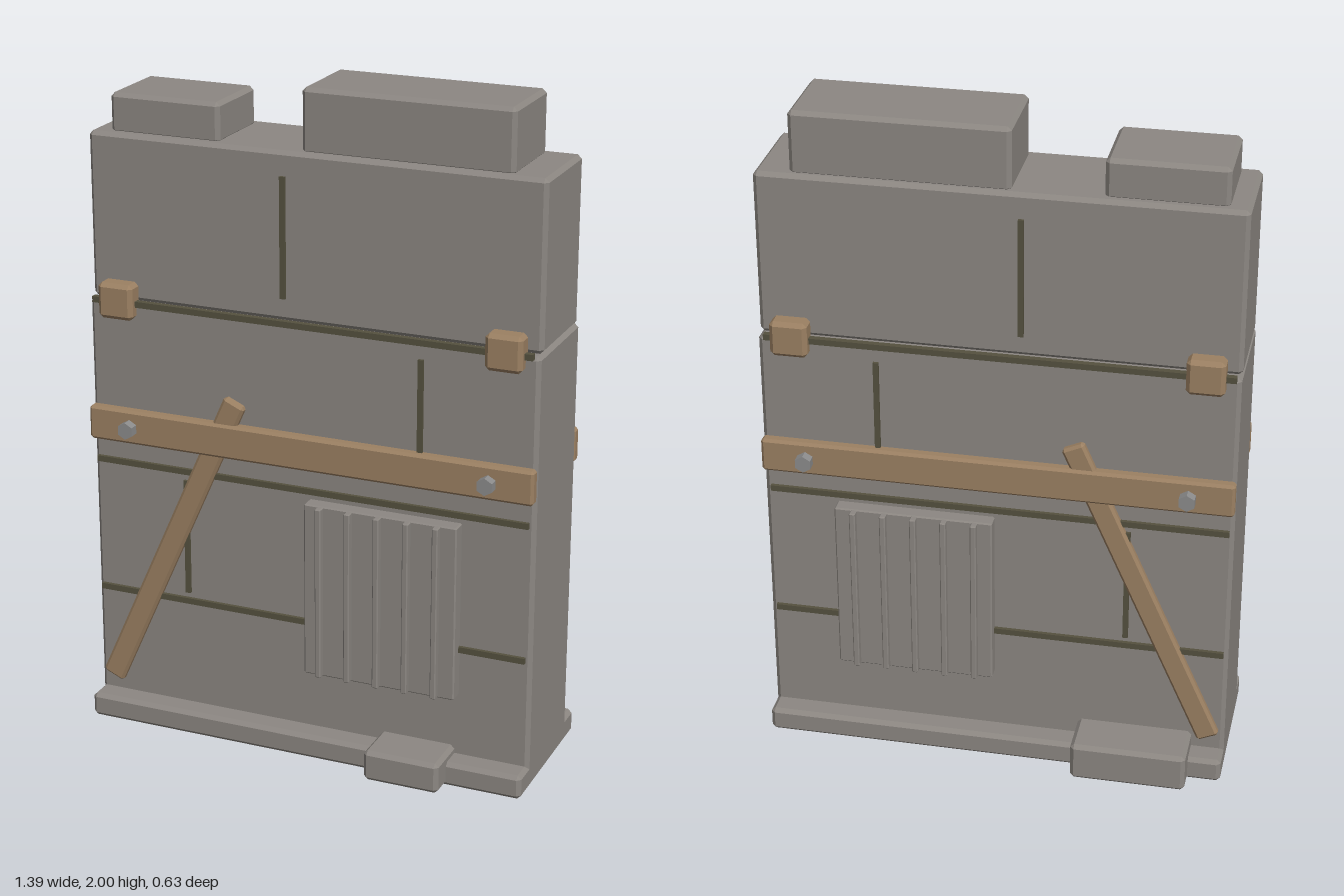
import * as THREE from 'three';
import { ConvexGeometry } from 'three/addons/geometries/ConvexGeometry.js';

const material = (name, color) => {
  const m = new THREE.MeshStandardMaterial({ color });
  m.name = name;
  return m;
};

// Box with flat chamfered edges
function chamferBox(w, h, d, c) {
  const points = [];
  for (const x of [-1, 1]) for (const y of [-1, 1]) for (const z of [-1, 1]) {
    const X = x * w / 2, Y = y * h / 2, Z = z * d / 2;
    points.push(
      new THREE.Vector3(X, Y - y * c, Z - z * c),
      new THREE.Vector3(X - x * c, Y, Z - z * c),
      new THREE.Vector3(X - x * c, Y - y * c, Z));
  }
  return new ConvexGeometry(points);
}

export function createModel() {
  const stone = material('stone', 0x8c8782);
  const timber = material('timber', 0x9b8062);
  const seamDark = material('seam', 0x55513f);
  const metal = material('bolt metal', 0x8c8c8c);
  const model = new THREE.Group();
  model.name = 'wallSegment';

  // Adds a box given by its min and max on each axis; c = 0 leaves sharp edges
  function block(name, mat, [x0, x1], [y0, y1], [z0, z1], c = 0.012) {
    const size = [x1 - x0, y1 - y0, z1 - z0];
    const geometry = c ? chamferBox(...size, c) : new THREE.BoxGeometry(...size);
    const mesh = new THREE.Mesh(geometry, mat);
    mesh.position.set((x0 + x1) / 2, (y0 + y1) / 2, (z0 + z1) / 2);
    mesh.name = name;
    model.add(mesh);
    return mesh;
  }

  // Wall body and the blocks on top
  block('lowerWall', stone, [-0.693, 0.693], [0, 1.325], [-0.172, 0.172]);
  block('upperWall', stone, [-0.693, 0.693], [1.325, 1.82], [-0.151, 0.151]);
  block('smallTopBlock', stone, [-0.635, -0.292], [1.81, 1.93], [-0.125, 0.122]);
  block('largeTopBlock', stone, [-0.035, 0.592], [1.81, 2], [-0.132, 0.13]);

  // Loose stones at the foot
  block('frontFootStone', stone, [0.232, 0.465], [0.005, 0.1], [0.13, 0.312]);
  block('backFootStone', stone, [-0.595, -0.25], [0.005, 0.125], [-0.315, -0.13]);

  // Both faces carry the same fittings, mirrored in z
  for (const s of [1, -1]) {
    const side = s > 0 ? 'front' : 'back';
    const span = (a, b) => s > 0 ? [a, b] : [-b, -a];

    block(side + 'Plinth', stone, [-0.693, 0.693], [0, 0.075], span(0.14, 0.242));

    // Seams between the stones
    for (const y of [0.413, 0.828, 1.325])
      block(side + 'CourseSeam', seamDark, [-0.68, 0.675], [y - 0.009, y + 0.009], span(0.165, 0.183), 0);
    for (const [x, y0, y1] of [[-0.072, 1.4, 1.755], [0.347, 0.95, 1.275], [-0.388, 0.44, 0.8]])
      block(side + 'JointSeam', seamDark, [x - 0.008, x + 0.008], [y0, y1], span(0.174, 0.183), 0);

    // Ribbed grate
    block(side + 'GratePlate', stone, [0.005, 0.475], [0.265, 0.802], span(0.165, 0.215), 0.004);
    for (let i = 0; i < 5; i++) {
      const x = 0.057 + i * 0.09;
      block(side + 'GrateRib', stone, [x - 0.009, x + 0.009], [0.268, 0.8], span(0.21, 0.237), 0.003);
    }

    // Timber beam and the leaning brace behind it
    block(side + 'Beam', timber, [-0.693, 0.693], [0.896, 1.0], span(0.165, 0.202), 0.008);
    const brace = block(side + 'Brace', timber, [-0.47, -0.4], [0.077, 1.115], span(0.165, 0.194), 0.008);
    brace.rotation.z = -0.42;

    for (const m of [1, -1]) {
      // Wooden clamps over the top seam
      const x = m * 0.596;
      block(side + 'Clamp', timber, [x - 0.055, x + 0.055], [1.278, 1.386], span(0.145, 0.207));

      // Hexagonal bolts through the beam
      const bolt = new THREE.Mesh(new THREE.CylinderGeometry(0.026, 0.026, 0.04, 6).toNonIndexed(), metal);
      bolt.geometry.computeVertexNormals();
      bolt.rotation.x = Math.PI / 2;
      bolt.position.set(m * 0.56, 0.947, s * 0.212);
      bolt.name = side + 'Bolt';
      model.add(bolt);
    }
  }
  return model;
}
